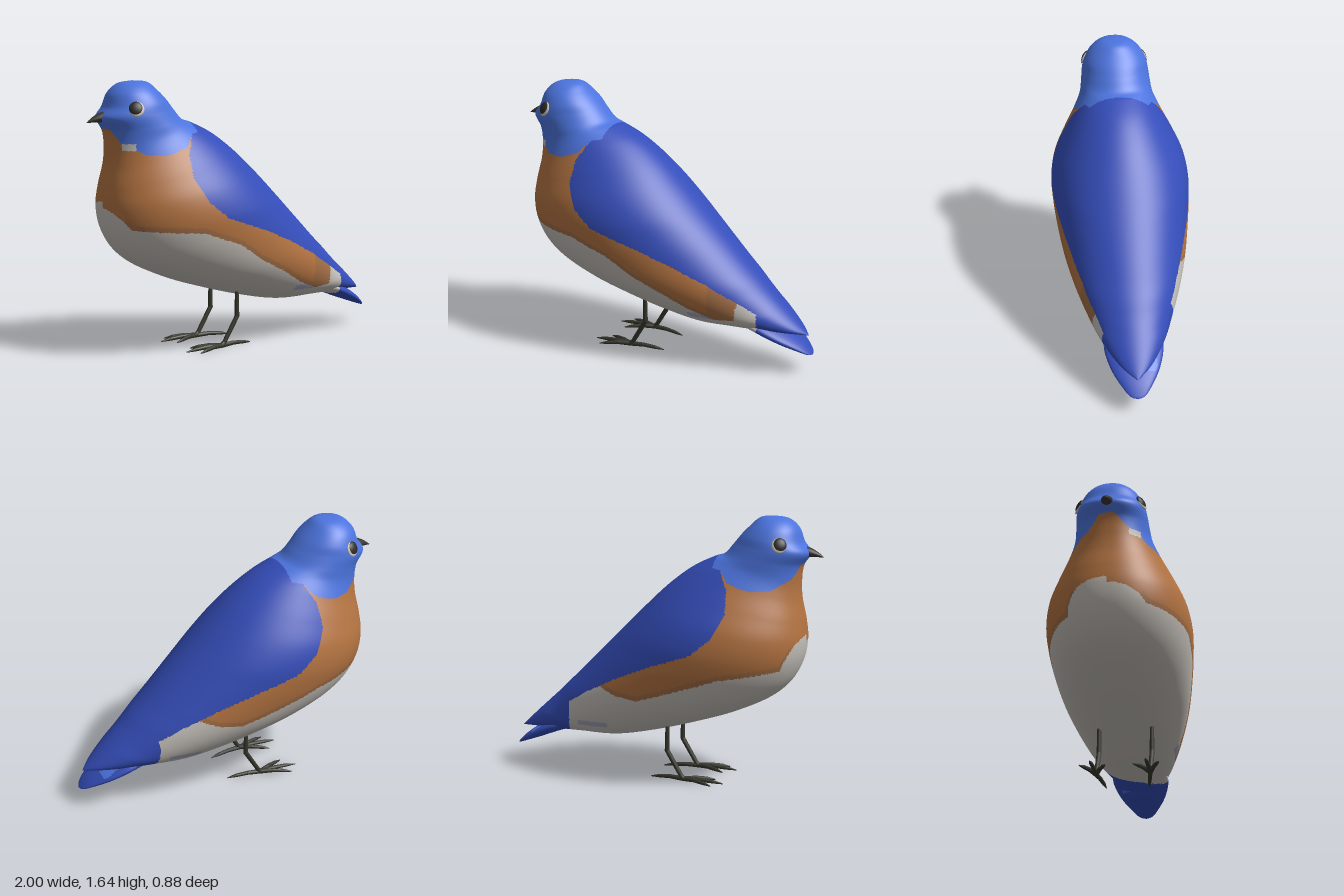
import * as THREE from 'three';

const mat = (name, color) => {
  const m = new THREE.MeshStandardMaterial({ color });
  m.name = name;
  return m;
};

// piecewise linear lookup in a list of [key, value]
function lerpTable(table, k) {
  if (k <= table[0][0]) return table[0][1];
  for (let i = 1; i < table.length; i++) {
    const [k0, v0] = table[i - 1], [k1, v1] = table[i];
    if (k <= k1) return v0 + (v1 - v0) * (k - k0) / (k1 - k0);
  }
  return table[table.length - 1][1];
}

// Smooth skin over tilted rings: [belly x, belly y, back x, back y, half width].
// colourOf(x, y, z) picks the material index of each face.
function loft(rings, rows, cols, colourOf) {
  const belly = new THREE.CatmullRomCurve3(rings.map(r => new THREE.Vector3(r[0], r[1], r[4])));
  const back = new THREE.CatmullRomCurve3(rings.map(r => new THREE.Vector3(r[2], r[3], r[4])));
  const pos = [];
  for (let i = 0; i <= rows; i++) {
    const a = belly.getPoint(i / rows), b = back.getPoint(i / rows);
    const w = Math.max(0, (a.z + b.z) / 2);
    for (let j = 0; j < cols; j++) {
      const t = j / cols * Math.PI * 2, c = (1 + Math.cos(t)) / 2, s = Math.sin(t);
      // the breast and belly half is a little fuller than an ellipse
      const full = c < 0.5 ? Math.sign(s) * Math.abs(s) ** 0.87 : s;
      pos.push(a.x + (b.x - a.x) * c, a.y + (b.y - a.y) * c, w * full);
    }
  }
  const buckets = [];
  const face = (...ids) => {
    const mid = [0, 1, 2].map(k => ids.reduce((s, id) => s + pos[id * 3 + k], 0) / 3);
    const m = colourOf(...mid);
    (buckets[m] ??= []).push(...ids);
  };
  for (let i = 0; i < rows; i++) {
    for (let j = 0; j < cols; j++) {
      const k = (j + 1) % cols;
      const a = i * cols + j, b = i * cols + k, c = a + cols, d = b + cols;
      if (i > 0) face(a, b, c);
      if (i < rows - 1) face(b, d, c);
    }
  }
  const g = new THREE.BufferGeometry();
  g.setAttribute('position', new THREE.Float32BufferAttribute(pos, 3));
  const index = [];
  buckets.forEach((ids, m) => {
    g.addGroup(index.length, ids.length, m);
    for (const id of ids) index.push(id);
  });
  g.setIndex(index);
  g.computeVertexNormals();
  return g;
}

// plumage borders
const headLow = [[-0.9, 1.385], [-0.87, 1.36], [-0.83, 1.28], [-0.72, 1.22], [-0.6, 1.22], [-0.48, 1.26], [-0.42, 1.33], [-0.36, 1.34]];
const wingFront = [[1.08, -0.49], [1.22, -0.48], [1.33, -0.42], [1.42, -0.36]];
const wingLow = [[-0.49, 1.08], [-0.42, 0.95], [-0.3, 0.85], [0, 0.745], [0.2, 0.66], [0.4, 0.56], [0.6, 0.44], [0.75, 0.35], [0.97, 0.23]];
const bellyLeft = [[-0.9, 0.9], [-0.82, 0.79], [-0.45, 0.77], [-0.2, 0.68], [-0.05, 0.58], [0.15, 0.48], [0.3, 0.39], [0.45, 0.33], [0.57, 0.34], [0.6, 0.6]];
const bellyRight = [[-0.9, 0.94], [-0.86, 0.89], [-0.79, 0.75], [-0.45, 0.7], [-0.17, 0.61], [0.05, 0.54], [0.2, 0.56], [0.35, 0.62]];
const HEAD = 0, WING = 1, BREAST = 2, BELLY = 3, FLANK = 4, TINT = 5;

function tailColour(x, y, z) {
  if (x > 0.72 && x < 0.87 && z < -0.03 && z > -0.13 && y > 0.22) return HEAD;
  return x > 0.63 + z * 0.35 ? WING : BELLY;
}

function bodyColour(x, y, z) {
  const chinPatch = z > 0 && x > -0.83 && x < -0.77 && y > 1.245 && y < 1.285;
  if (chinPatch) return BELLY;
  if (x < -0.36 && y > lerpTable(headLow, x)) return HEAD;
  if (x > lerpTable(wingFront, y) && y > lerpTable(wingLow, x)) return WING;
  if (x > 0.63 + z * 0.35) return WING;
  const edge = lerpTable(z > 0 ? bellyLeft : bellyRight, x);
  if (y < edge) return x > 0.28 && x < 0.48 && y > 0.33 && y < 0.365 ? TINT : BELLY;
  return x > 0.42 || (y < edge + 0.03 && x > -0.85) ? FLANK : BREAST;
}

// tapered limb through points [x, y, z, radius]
function limb(points, material, name) {
  const group = new THREE.Group();
  group.name = name;
  points.forEach(([x, y, z, r], i) => {
    const p = new THREE.Vector3(x, y, z);
    const joint = new THREE.Mesh(new THREE.SphereGeometry(r, 10, 6), material);
    joint.position.copy(p);
    joint.name = name + 'Joint';
    group.add(joint);
    if (i === 0) return;
    const q = new THREE.Vector3(...points[i - 1]);
    const dir = p.clone().sub(q);
    const bone = new THREE.Mesh(new THREE.CylinderGeometry(r, points[i - 1][3], dir.length(), 10), material);
    bone.position.copy(p).add(q).multiplyScalar(0.5);
    bone.quaternion.setFromUnitVectors(new THREE.Vector3(0, 1, 0), dir.normalize());
    bone.name = name + 'Bone';
    group.add(bone);
  });
  return group;
}

export function createModel() {
  const bird = new THREE.Group();
  bird.name = 'bird';
  const plumage = [
    mat('head blue', 0x4c74de), mat('wing blue', 0x344db9), mat('breast orange', 0xb37341),
    mat('belly white', 0xc4bfb9), mat('flank brown', 0xa26d45), mat('belly tint', 0xa3a4bd),
  ];
  const legMat = mat('leg grey', 0x36362d);
  const beakMat = mat('beak dark', 0x3b3633);
  const eyeMat = mat('eye dark', 0x2c2b27);

  // head, body and folded wings
  const bodyGeo = loft([
    [-0.70, 1.645, -0.70, 1.645, 0], [-0.79, 1.625, -0.61, 1.635, 0.09],
    [-0.845, 1.57, -0.555, 1.59, 0.155], [-0.875, 1.49, -0.50, 1.535, 0.195],
    [-0.915, 1.43, -0.45, 1.475, 0.21], [-0.872, 1.35, -0.395, 1.415, 0.22],
    [-0.86, 1.25, -0.33, 1.392, 0.232], [-0.865, 1.15, -0.20, 1.33, 0.275],
    [-0.89, 1.02, -0.05, 1.22, 0.345], [-0.90, 0.90, 0.10, 1.08, 0.41],
    [-0.88, 0.78, 0.23, 0.95, 0.437], [-0.82, 0.66, 0.34, 0.84, 0.432],
    [-0.72, 0.565, 0.45, 0.73, 0.415], [-0.50, 0.455, 0.55, 0.63, 0.385],
    [-0.25, 0.37, 0.63, 0.555, 0.345], [0, 0.30, 0.69, 0.495, 0.3],
    [0.25, 0.25, 0.75, 0.44, 0.25], [0.45, 0.25, 0.81, 0.385, 0.207],
    [0.62, 0.25, 0.88, 0.32, 0.15], [0.79, 0.25, 0.93, 0.272, 0.085],
    [0.965, 0.237, 0.965, 0.237, 0],
  ], 280, 210, bodyColour);
  const body = new THREE.Mesh(bodyGeo, plumage);
  body.name = 'body';
  bird.add(body);

  // tail blade
  const tail = new THREE.Mesh(loft([
    [0.42, 0.31, 0.42, 0.31, 0], [0.52, 0.275, 0.52, 0.35, 0.13],
    [0.66, 0.24, 0.68, 0.335, 0.18], [0.80, 0.187, 0.83, 0.26, 0.152],
    [0.92, 0.143, 0.935, 0.185, 0.09], [0.98, 0.122, 0.985, 0.135, 0.04],
    [0.995, 0.12, 0.995, 0.12, 0],
  ], 50, 64, tailColour), plumage);
  tail.name = 'tail';
  bird.add(tail);

  // beak: stout bent cone
  const beakGeo = new THREE.ConeGeometry(1, 0.13, 20, 8);
  beakGeo.rotateZ(Math.PI / 2);
  const bp = beakGeo.attributes.position;
  for (let i = 0; i < bp.count; i++) {
    const along = (0.065 - bp.getX(i)) / 0.13;
    const bulge = 1 + 0.5 * along;
    bp.setXYZ(i, bp.getX(i) - 0.935, 1.436 - 0.032 * along * along + bp.getY(i) * 0.036 * bulge, bp.getZ(i) * 0.045 * bulge);
  }
  beakGeo.computeVertexNormals();
  const beak = new THREE.Mesh(beakGeo, beakMat);
  beak.name = 'beak';
  bird.add(beak);

  // eyes sit on the nearest point of the head skin
  const P = bodyGeo.attributes.position, N = bodyGeo.attributes.normal;
  let best = 0, bestD = Infinity;
  for (let i = 0; i < P.count; i++) {
    if (P.getZ(i) <= 0) continue;
    const d = Math.hypot(P.getX(i) + 0.77, P.getY(i) - 1.49);
    if (d < bestD) { bestD = d; best = i; }
  }
  for (const s of [1, -1]) {
    const eye = new THREE.Group();
    eye.name = s > 0 ? 'leftEye' : 'rightEye';
    const ball = new THREE.SphereGeometry(1, 24, 16);
    const ring = new THREE.Mesh(ball, plumage[BELLY]);
    ring.name = 'eyeRing';
    ring.scale.set(0.044, 0.046, 0.012);
    ring.position.set(0.004, -0.004, 0);
    const pupil = new THREE.Mesh(ball, eyeMat);
    pupil.name = 'pupil';
    pupil.scale.set(0.041, 0.042, 0.018);
    eye.add(ring, pupil);
    eye.position.set(P.getX(best), P.getY(best), s * P.getZ(best));
    const n = new THREE.Vector3(N.getX(best), N.getY(best), s * N.getZ(best));
    eye.quaternion.setFromUnitVectors(new THREE.Vector3(0, 0, s), n.normalize());
    if (s < 0) pupil.position.z = ring.position.z;
    bird.add(eye);
  }

  // legs with three front toes and one hind toe
  for (const s of [1, -1]) {
    const leg = new THREE.Group();
    leg.name = s > 0 ? 'leftLeg' : 'rightLeg';
    const z = 0.16 * s;
    leg.add(limb([[-0.075, 0.36, z, 0.012], [-0.073, 0.19, z, 0.015], [-0.165, 0.035, z, 0.014], [-0.18, 0.02, z, 0.017]], legMat, 'shank'));
    for (const [x, dz] of [[-0.43, 0], [-0.37, 0.07], [-0.36, -0.08], [0.04, -0.03]]) {
      const at = (t, y, r) => [-0.18 + (x + 0.18) * t, y, z + dz * s * t, r];
      leg.add(limb([at(0, 0.018, 0.015), at(0.4, 0.022, 0.013), at(0.75, 0.016, 0.011), at(1, 0.008, 0.003)], legMat, 'toe'));
    }
    bird.add(leg);
  }
  return bird;
}
